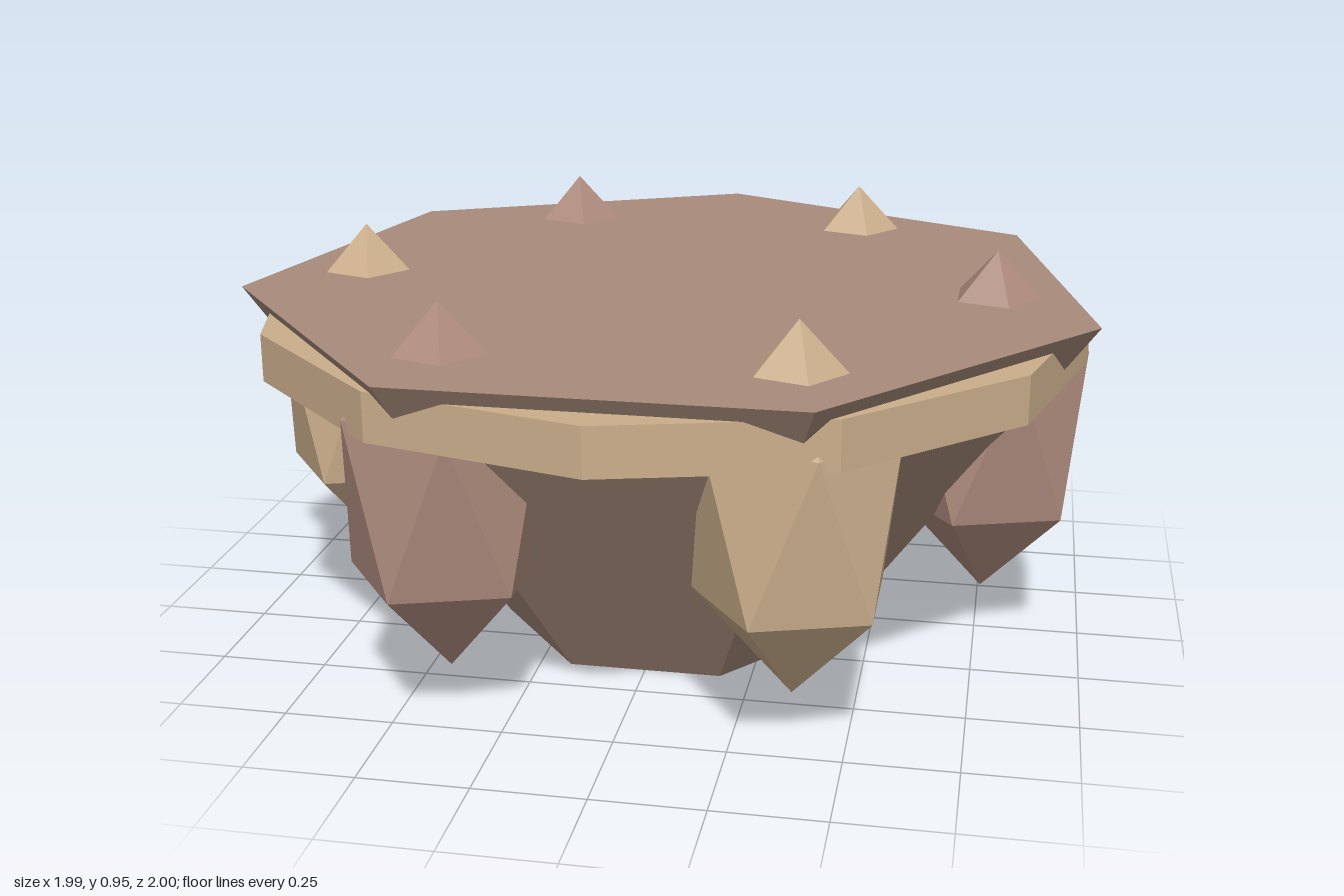
import * as THREE from 'three';

export function createModel() {
  const model = new THREE.Group();
  const mat = (name, color) => {
    const m = new THREE.MeshStandardMaterial({ color, flatShading: true });
    m.name = name;
    return m;
  };
  const bowlBrown = mat('bowl brown', 0xa98c7c);
  const crystalBrown = mat('crystal brown', 0xad8a7c);
  const sand = mat('sand', 0xcbae8c);

  const add = (name, geometry, material, x, y, z) => {
    const mesh = new THREE.Mesh(geometry, material);
    mesh.name = name;
    mesh.position.set(x, y, z);
    model.add(mesh);
    return mesh;
  };
  const CZ = 0.021; // common centre in z

  // seven-sided tapered body, one corner pointing back
  const body = new THREE.CylinderGeometry(1.021, 0.41, 0.845, 7);
  body.rotateY(Math.PI);
  add('body', body, bowlBrown, 0, 0.4225, CZ);

  // twelve-sided band under the top edge
  add('band', new THREE.CylinderGeometry(0.978, 0.978, 0.11, 12), sand, 0, 0.755, CZ);

  // tall crystals: stretched icosahedra standing on a tip, poking through the top
  const crystal = new THREE.IcosahedronGeometry(1, 0);
  crystal.rotateZ(-Math.atan(2 / (1 + Math.sqrt(5))));
  crystal.scale(0.246, 0.4175, 0.246);
  for (let i = 0; i < 6; i++) {
    const a = (i * Math.PI) / 3;
    add('crystal' + (i + 1), crystal, i % 2 ? sand : crystalBrown,
      0.76 * Math.cos(a), 0.5375, CZ + 0.76 * Math.sin(a));
  }
  return model;
}
